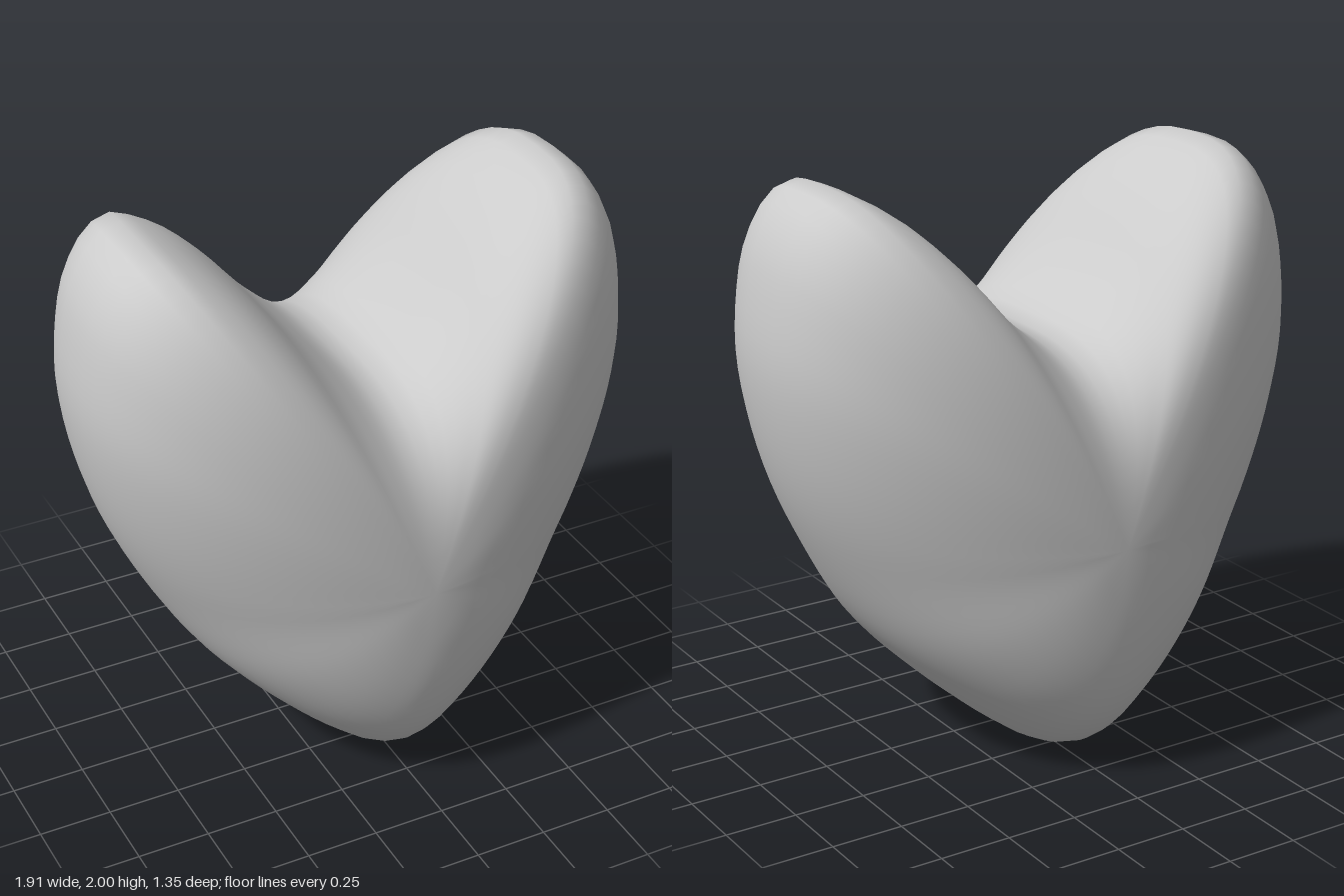
import * as THREE from 'three';

const CENTRE_Y = 0.85;   // height of the middle of the front and back domes
const HALF_DEPTH = 0.675;
const AROUND = 96;       // points around the outline
const LAYERS = 32;       // layers from back to front

// Right half of the heart outline, from the bottom tip up to the notch
const HALF = [
  [0, 0], [0.09, 0.022], [0.2, 0.095], [0.4, 0.27], [0.6, 0.49], [0.757, 0.757], [0.862, 0.995],
  [0.926, 1.23], [0.953, 1.455], [0.937, 1.656], [0.9, 1.815], [0.836, 1.93], [0.783, 1.98],
  [0.714, 2], [0.624, 1.962], [0.534, 1.905], [0.413, 1.794], [0.27, 1.63], [0.164, 1.53],
  [0.085, 1.47], [0, 1.447],
];

// Closed, mirrored outline, anticlockwise from the front
function heartOutline() {
  const mirrored = HALF.slice(1, -1).reverse().map(([x, y]) => [-x, y]);
  const points = [...HALF, ...mirrored].map(([x, y]) => new THREE.Vector3(x, y, 0));
  return new THREE.CatmullRomCurve3(points, true, 'centripetal').getSpacedPoints(AROUND).slice(0, AROUND);
}

// Layers of the outline shrink towards the front and back along a rounded-square profile
function heartGeometry() {
  const outline = heartOutline();
  const positions = [0, CENTRE_Y, -HALF_DEPTH];
  const index = [];

  for (let j = 1; j < LAYERS; j++) {
    const angle = (j / LAYERS - 0.5) * Math.PI;
    for (const p of outline) {
      const dx = p.x, dy = p.y - CENTRE_Y;
      // Squarer edge at tip and notch, rounder edge at the flanks
      const power = 2.1 + 0.9 * dy * dy / (dx * dx + dy * dy);
      const s = Math.cos(angle) ** (2 / power);
      const depth = Math.abs(Math.sin(angle)) ** (2 / power) * HALF_DEPTH;
      const y = CENTRE_Y + dy * s;
      const taper = 1 - 0.1 * Math.max(0, y - CENTRE_Y); // lobes thin out upwards
      positions.push(dx * s, y, Math.sign(angle) * depth * taper);
    }
  }
  positions.push(0, CENTRE_Y, HALF_DEPTH);

  const last = positions.length / 3 - 1;
  const at = (j, i) => 1 + j * AROUND + (i % AROUND);
  for (let i = 0; i < AROUND; i++) {
    index.push(0, at(0, i + 1), at(0, i));
    for (let j = 0; j < LAYERS - 2; j++) {
      const a = at(j, i), b = at(j, i + 1), c = at(j + 1, i + 1), d = at(j + 1, i);
      index.push(a, b, c, a, c, d);
    }
    index.push(last, at(LAYERS - 2, i), at(LAYERS - 2, i + 1));
  }

  const geometry = new THREE.BufferGeometry();
  geometry.setAttribute('position', new THREE.Float32BufferAttribute(positions, 3));
  geometry.setIndex(index);
  geometry.computeVertexNormals();
  return geometry;
}

export function createModel() {
  const group = new THREE.Group();
  group.name = 'heart';
  const body = new THREE.Mesh(heartGeometry(), new THREE.MeshStandardMaterial({ color: 0xcccccc }));
  body.name = 'heartBody';
  group.add(body);
  return group;
}
